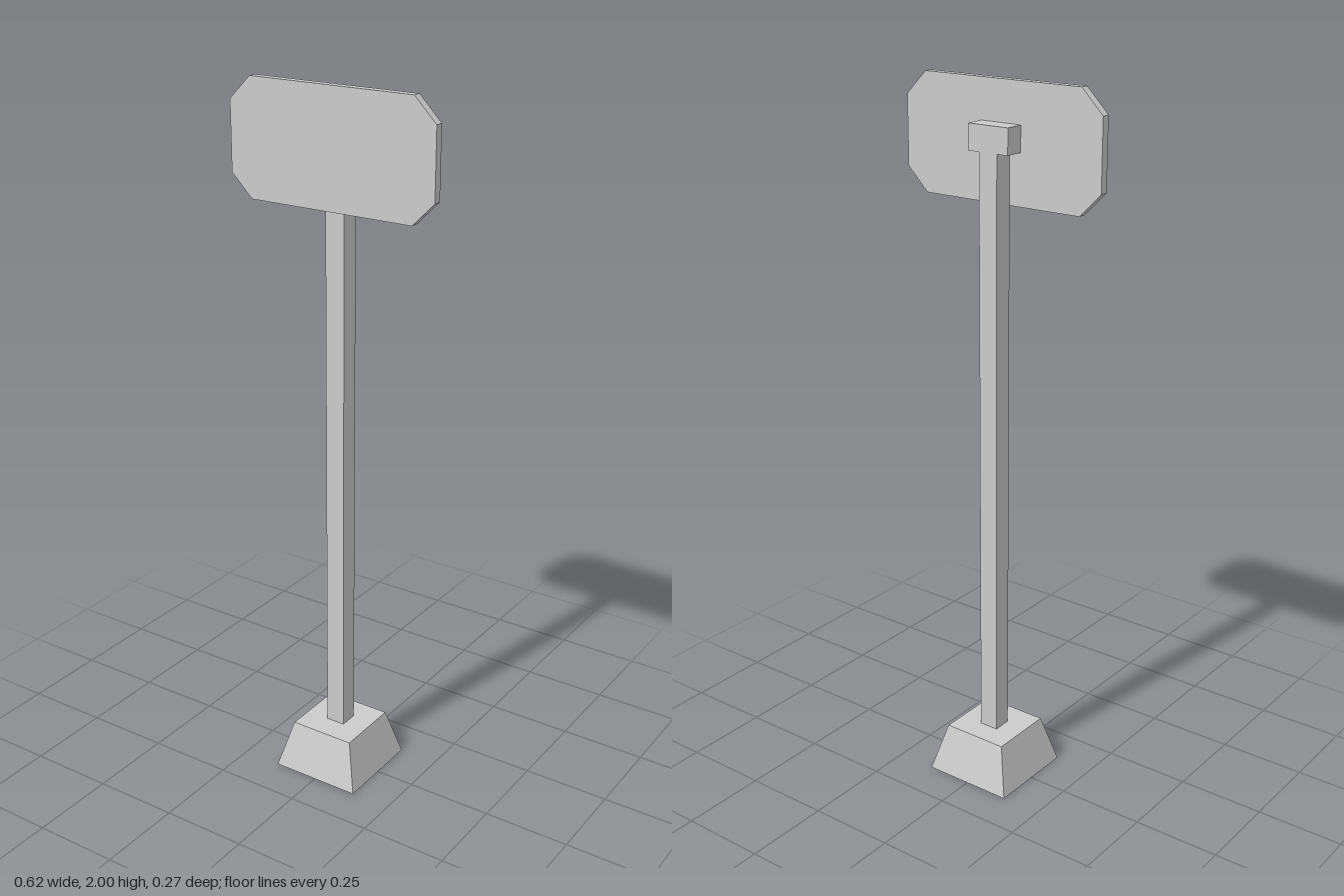
import * as THREE from 'three';
import { mergeGeometries } from 'three/addons/utils/BufferGeometryUtils.js';

const grey = new THREE.MeshStandardMaterial({ color: 0xcccccc, flatShading: true });
const shell = new THREE.MeshStandardMaterial({ color: 0xcccccc, flatShading: true, side: THREE.DoubleSide });

export function createModel() {
  const group = new THREE.Group();
  const add = (name, geometry, material = grey) => {
    const mesh = new THREE.Mesh(geometry, material);
    mesh.name = name;
    group.add(mesh);
    return mesh;
  };

  // Tapered square foot: a hollow shell, open underneath
  const baseHeight = 0.14, topHalf = 0.097, bottomHalf = 0.134;
  const walls = new THREE.CylinderGeometry(
    topHalf * Math.SQRT2, bottomHalf * Math.SQRT2, baseHeight, 4, 1, true
  ).rotateY(Math.PI / 4).translate(0, baseHeight / 2, 0);
  const lid = new THREE.PlaneGeometry(topHalf * 2, topHalf * 2)
    .rotateX(-Math.PI / 2).translate(0, baseHeight, 0);
  add('base', mergeGeometries([walls, lid]), shell);

  // Square post with a wider bracket on top, flush front and back
  const depth = 0.055, bracketBottom = 1.82, bracketTop = 1.89, z = -0.002;
  const postHeight = bracketBottom - baseHeight;
  add('post', new THREE.BoxGeometry(0.057, postHeight, depth))
    .position.set(0, baseHeight + postHeight / 2, z);
  add('bracket', new THREE.BoxGeometry(0.126, bracketTop - bracketBottom, depth))
    .position.set(0, (bracketBottom + bracketTop) / 2, z);

  // Sign plate with clipped corners, fixed to the front of the bracket
  const w = 0.31, h = 0.16, c = 0.064;
  const outline = new THREE.Shape([
    [w - c, -h], [w, -h + c], [w, h - c], [w - c, h],
    [-w + c, h], [-w, h - c], [-w, -h + c], [-w + c, -h],
  ].map(([x, y]) => new THREE.Vector2(x, y)));
  add('signPlate', new THREE.ExtrudeGeometry(outline, { depth: 0.024, bevelEnabled: false }))
    .position.set(0, 2 - h, z + depth / 2);

  return group;
}
